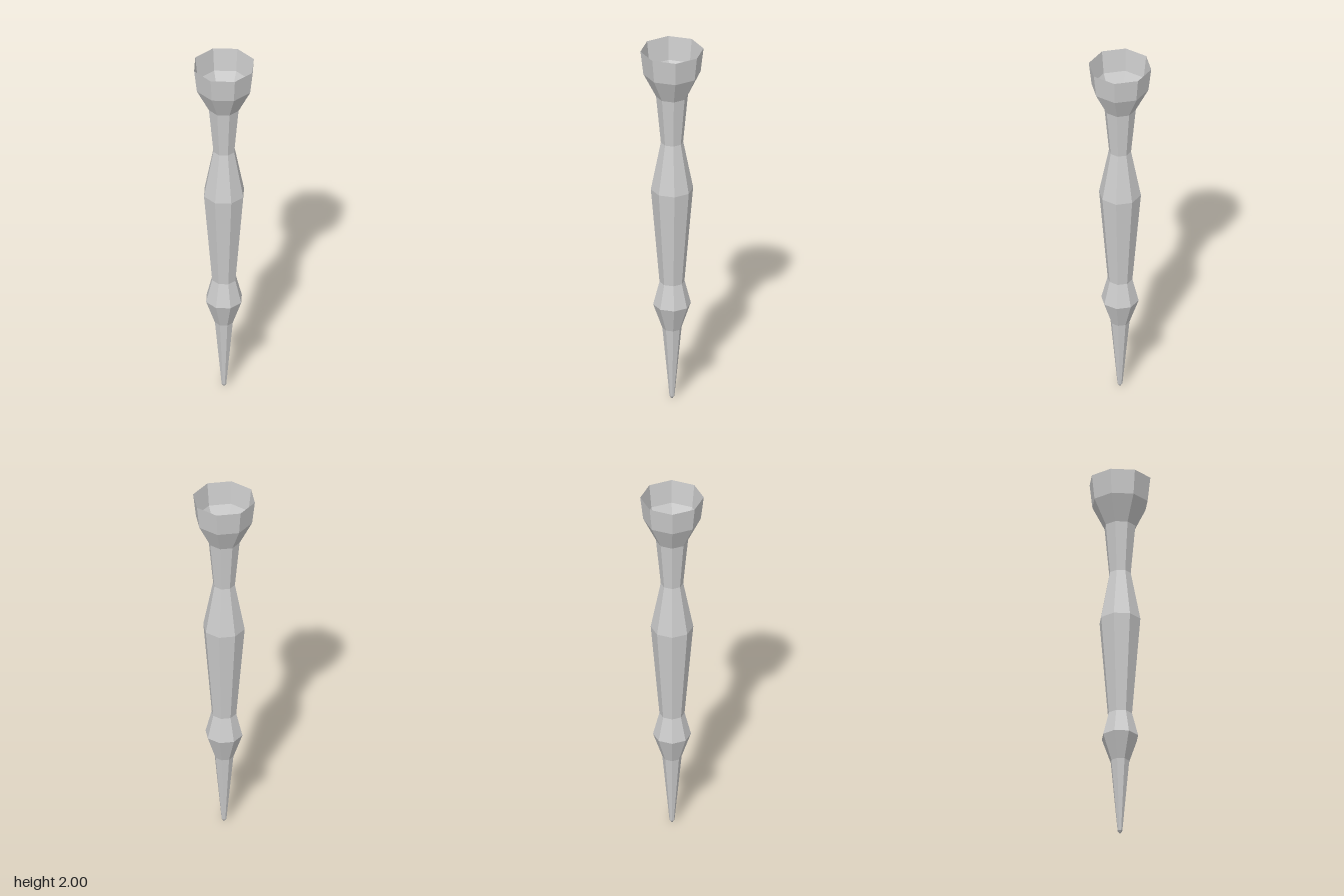
import * as THREE from 'three';

// Radius and height pairs, from the tip up to the open rim
const PROFILE = [
  [0, 0], [0.005, 0], [0.013, 0.012],   // blunt tip
  [0.05, 0.405],                        // tapered spike
  [0.098, 0.543], [0.065, 0.672],       // lower collar
  [0.11, 1.205], [0.058, 1.472],        // swelling grip
  [0.083, 1.738],                       // neck
  [0.149, 1.87], [0.164, 2],            // open cup
];

export function createModel() {
  const group = new THREE.Group();
  group.name = 'taperedShaft';

  // Eight-sided hollow shell with corners on the axes
  const points = PROFILE.map(([r, y]) => new THREE.Vector2(r, y));
  const material = new THREE.MeshStandardMaterial({
    color: 0xcccccc,
    flatShading: true,
    side: THREE.DoubleSide,
  });
  const shaft = new THREE.Mesh(new THREE.LatheGeometry(points, 8), material);
  shaft.name = 'hollowShaft';
  group.add(shaft);

  return group;
}
